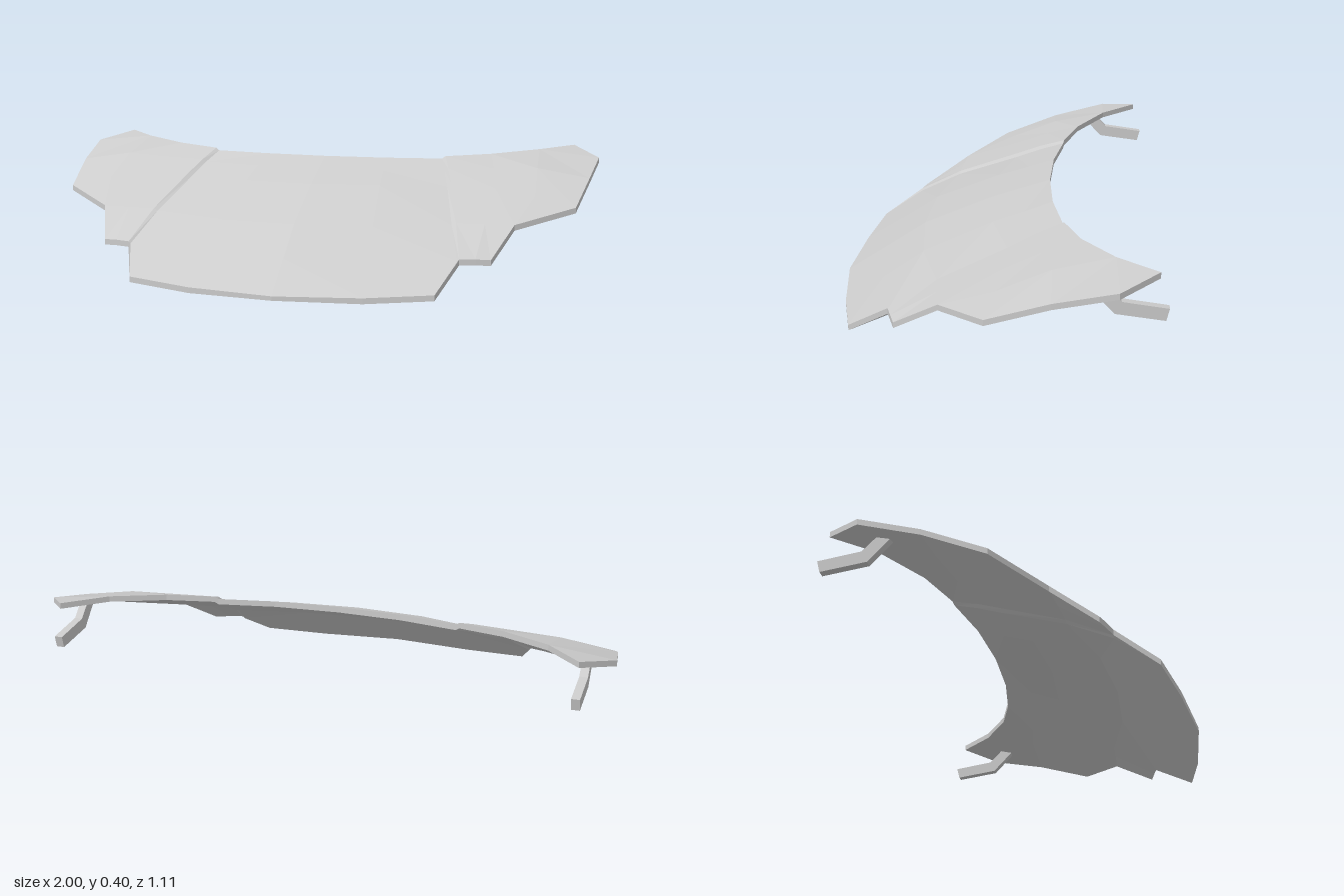
import * as THREE from 'three';

const grey = new THREE.MeshStandardMaterial({ color: 0xcccccc, flatShading: true });
const THICKNESS = 0.02;

// Centre panel sections [x, y, z], nose to rear edge (last point doubled to match the wing rows)
const middle = [[0, 0.015, 0.555], [0, 0.11, 0.41], [0, 0.203, 0.27], [0, 0.305, 0.03], [0, 0.342, -0.08], [0, 0.376, -0.185]];
const inner = [[0.3, 0.02, 0.525], [0.285, 0.112, 0.385], [0.275, 0.203, 0.25], [0.25, 0.305, 0.01], [0.24, 0.342, -0.1], [0.23, 0.376, -0.197]];
const edge = [[0.53, 0.034, 0.482], [0.58, 0.118, 0.34], [0.537, 0.208, 0.18], [0.485, 0.3, -0.05], [0.46, 0.342, -0.145], [0.435, 0.375, -0.232]];
const centrePanel = [middle, inner, edge].map(s => [...s, s[5]]);

// Raised wing sections, front notch to rear; a wing starts one row behind the nose
const wings = [
  [[0.588, 0.125, 0.34], [0.552, 0.216, 0.178], [0.5, 0.31, -0.05], [0.473, 0.352, -0.145], [0.448, 0.384, -0.236]],
  [[0.64, 0.125, 0.325], [0.65, 0.216, 0.17], [0.66, 0.302, -0.04], [0.635, 0.354, -0.17], [0.61, 0.391, -0.29]],
  [[0.69, 0.122, 0.31], [0.75, 0.215, 0.16], [0.8, 0.287, -0.025], [0.79, 0.358, -0.2], [0.78, 0.4, -0.395]],
  [[0.69, 0.122, 0.31], [0.75, 0.215, 0.16], [0.945, 0.256, 0.005], [0.978, 0.328, -0.2], [1, 0.375, -0.4], [0.9, 0.403, -0.525]],
].map(s => [s[0], ...s, ...(s.length === 5 ? [s[4]] : [])]);

// Thick sheet from a grid of sections: top, underside and a rim along every open edge
function sheet(columns) {
  const points = [], lookup = new Map(), tris = [];
  const id = p => {
    const key = p.map(v => v.toFixed(4)).join();
    if (!lookup.has(key)) lookup.set(key, points.push(p) - 1);
    return lookup.get(key);
  };
  const tri = (a, b, c) => { if (a !== b && b !== c && c !== a) tris.push([a, b, c]); };
  for (let i = 0; i < columns.length - 1; i++) {
    for (let j = 0; j < columns[i].length - 1; j++) {
      const a = id(columns[i][j]), b = id(columns[i + 1][j]);
      const c = id(columns[i + 1][j + 1]), d = id(columns[i][j + 1]);
      // Mirror the diagonals about the centre line
      if (i < (columns.length - 1) / 2) { tri(a, b, c); tri(a, c, d); }
      else { tri(a, b, d); tri(b, c, d); }
    }
  }
  const n = points.length, index = [];
  const edges = new Set(tris.flatMap(([a, b, c]) => [`${a}_${b}`, `${b}_${c}`, `${c}_${a}`]));
  for (const [a, b, c] of tris) {
    index.push(a, b, c, a + n, c + n, b + n);
    for (const [p, q] of [[a, b], [b, c], [c, a]]) {
      if (!edges.has(`${q}_${p}`)) index.push(p, p + n, q + n, p, q + n, q);
    }
  }
  const under = points.map(([x, y, z]) => [x, Math.max(0, y - THICKNESS), z]);
  const geo = new THREE.BufferGeometry();
  geo.setAttribute('position', new THREE.Float32BufferAttribute([...points, ...under].flat(), 3));
  geo.setIndex(index);
  geo.computeVertexNormals();
  return geo;
}

// Bent hinge arm drawn in side profile (-z, y) and extruded across x
function hinge(x) {
  const width = 0.028;
  const profile = [[0.31, 0.355], [0.39, 0.27], [0.545, 0.25], [0.555, 0.29], [0.41, 0.31], [0.35, 0.37]];
  const shape = new THREE.Shape(profile.map(p => new THREE.Vector2(...p)));
  const geo = new THREE.ExtrudeGeometry(shape, { depth: width, bevelEnabled: false });
  geo.translate(0, 0, -width / 2).rotateY(Math.PI / 2);
  const mesh = new THREE.Mesh(geo, grey);
  mesh.position.x = x;
  return mesh;
}

export function createModel() {
  const model = new THREE.Group();
  model.name = 'carHood';

  // Hood panel, mirrored about the centre line
  const half = [...centrePanel, ...wings];
  const mirrored = half.slice(1).reverse().map(s => s.map(([x, y, z]) => [-x, y, z]));
  const panel = new THREE.Mesh(sheet([...mirrored, ...half]), grey);
  panel.name = 'hoodPanel';
  model.add(panel);

  // Hinge arms under the rear corners
  for (const side of [1, -1]) {
    const arm = hinge(side * 0.9);
    arm.name = side > 0 ? 'leftHinge' : 'rightHinge';
    model.add(arm);
  }
  return model;
}
